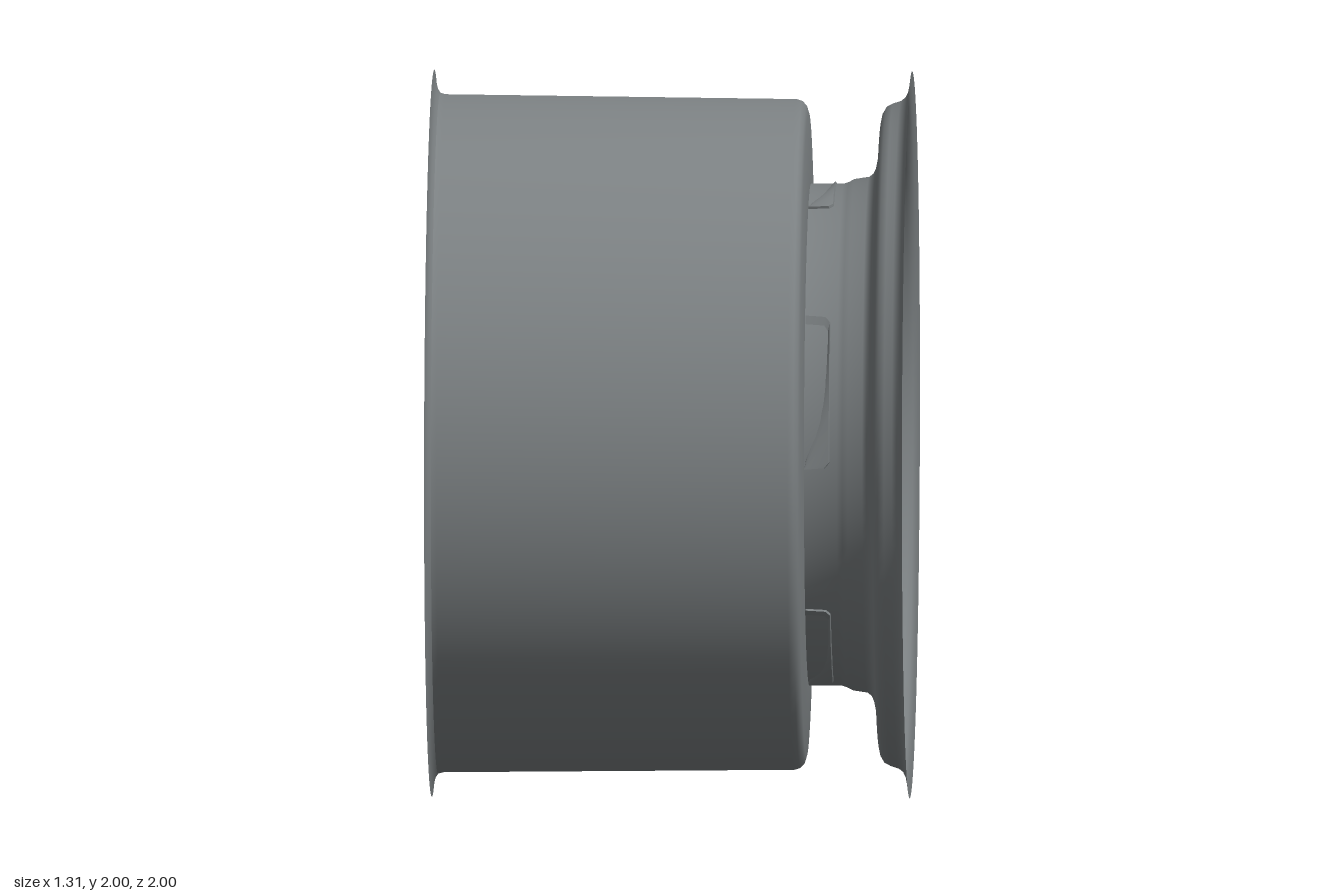
import * as THREE from 'three';
import { toCreasedNormals } from 'three/addons/utils/BufferGeometryUtils.js';

export function createModel() {
  const model = new THREE.Group();
  model.name = 'wheel';
  const wheel = new THREE.Group();
  wheel.name = 'wheelAssembly';
  wheel.position.y = 1;
  model.add(wheel);

  const metal = new THREE.MeshStandardMaterial({ color: 0x7b8082, side: THREE.DoubleSide });
  metal.name = 'grey metal';

  function add(name, geometry, parent = wheel) {
    const mesh = new THREE.Mesh(geometry, metal);
    mesh.name = name;
    parent.add(mesh);
    return mesh;
  }

  // Turned part about the x axis, from [x, radius] pairs
  function turned(name, profile, segments = 96) {
    const points = profile.map(([x, r]) => new THREE.Vector2(r, x));
    const geometry = new THREE.LatheGeometry(points, segments).rotateZ(-Math.PI / 2);
    return add(name, toCreasedNormals(geometry, 0.7));
  }

  // Wide barrel with a flared inner rim and a rounded front shoulder
  turned('barrel', [
    [-0.657, 1.0], [-0.655, 0.975], [-0.648, 0.948], [-0.64, 0.936], [-0.625, 0.932],
    [0.34, 0.922], [0.356, 0.917], [0.367, 0.905], [0.373, 0.885], [0.38, 0.69],
  ]);
  turned('backPlate', [[0.38, 0.695], [0.38, 0]]);

  // Drum joining the barrel to the dished front rim
  turned('frontRim', [
    [0.38, 0.69], [0.47, 0.69], [0.485, 0.695], [0.5, 0.703], [0.54, 0.709], [0.552, 0.718],
    [0.56, 0.735], [0.567, 0.77], [0.572, 0.82], [0.574, 0.865], [0.578, 0.885], [0.588, 0.902],
    [0.605, 0.911], [0.627, 0.918], [0.64, 0.928], [0.648, 0.945], [0.653, 0.97], [0.657, 1.0],
  ]);

  // Raised centre disc and the hub cap
  turned('hubDisc', [[0.38, 0.385], [0.398, 0.385], [0.402, 0.381], [0.402, 0]]);
  turned('hubCap', [
    [0.39, 0.155], [0.495, 0.155], [0.505, 0.151], [0.511, 0.143], [0.513, 0.13], [0.516, 0],
  ], 48);

  // Fan-shaped spoke: cross-sections in polar steps, widening outward along +y
  function spokeGeometry() {
    const half = Math.PI / 10;
    const sections = [
      // radius, front height, crown, front width fraction
      [0.1, 0.475, 0.01, 0.6], [0.2, 0.474, 0.014, 0.78], [0.32, 0.47, 0.012, 0.9],
      [0.45, 0.464, 0.008, 0.95], [0.58, 0.458, 0.004, 0.97], [0.68, 0.453, 0.002, 0.98],
      [0.697, 0.448, 0, 0.98],
    ];
    const across = [1, 0.93, 0.6, 0.3, 0, -0.3, -0.6, -0.93, -1];
    const rings = sections.map(([r, top, crown, width]) => {
      const point = (x, f) => [x, r * Math.cos(f * half), r * Math.sin(f * half)];
      const front = across.map((f) => {
        const edge = Math.abs(f) === 1 ? -0.012 : 0;
        return point(top + edge + crown * (1 - f * f), f * width);
      });
      return [point(0.381, 1), ...front, point(0.381, -1)];
    });
    const n = rings[0].length;
    const index = [];
    for (let s = 0; s < rings.length - 1; s++) {
      for (let i = 0; i < n; i++) {
        const a = s * n + i, b = s * n + (i + 1) % n;
        index.push(a, b, a + n, b, b + n, a + n);
      }
    }
    const last = (rings.length - 1) * n;
    for (let i = 1; i < n - 1; i++) index.push(last, last + i, last + i + 1);
    const geometry = new THREE.BufferGeometry();
    geometry.setAttribute('position', new THREE.Float32BufferAttribute(rings.flat(2), 3));
    geometry.setIndex(index);
    return toCreasedNormals(geometry, 0.6);
  }

  const spoke = spokeGeometry();
  const nut = toCreasedNormals(
    new THREE.CylinderGeometry(0.043, 0.05, 0.05, 6).rotateZ(-Math.PI / 2), 0.5);
  const dome = new THREE.SphereGeometry(0.037, 24, 10, 0, Math.PI * 2, 0, Math.PI / 2)
    .rotateZ(-Math.PI / 2);

  // Five spokes with a domed lug nut between each pair
  for (let i = 0; i < 5; i++) {
    const angle = (i * Math.PI * 2) / 5;
    add('spoke', spoke).rotation.x = angle;
    const lug = new THREE.Group();
    lug.name = 'lugNut';
    lug.rotation.x = angle;
    add('nutBody', nut, lug).position.set(0.427, -0.235, 0);
    add('nutDome', dome, lug).position.set(0.452, -0.235, 0);
    wheel.add(lug);
  }

  return model;
}
